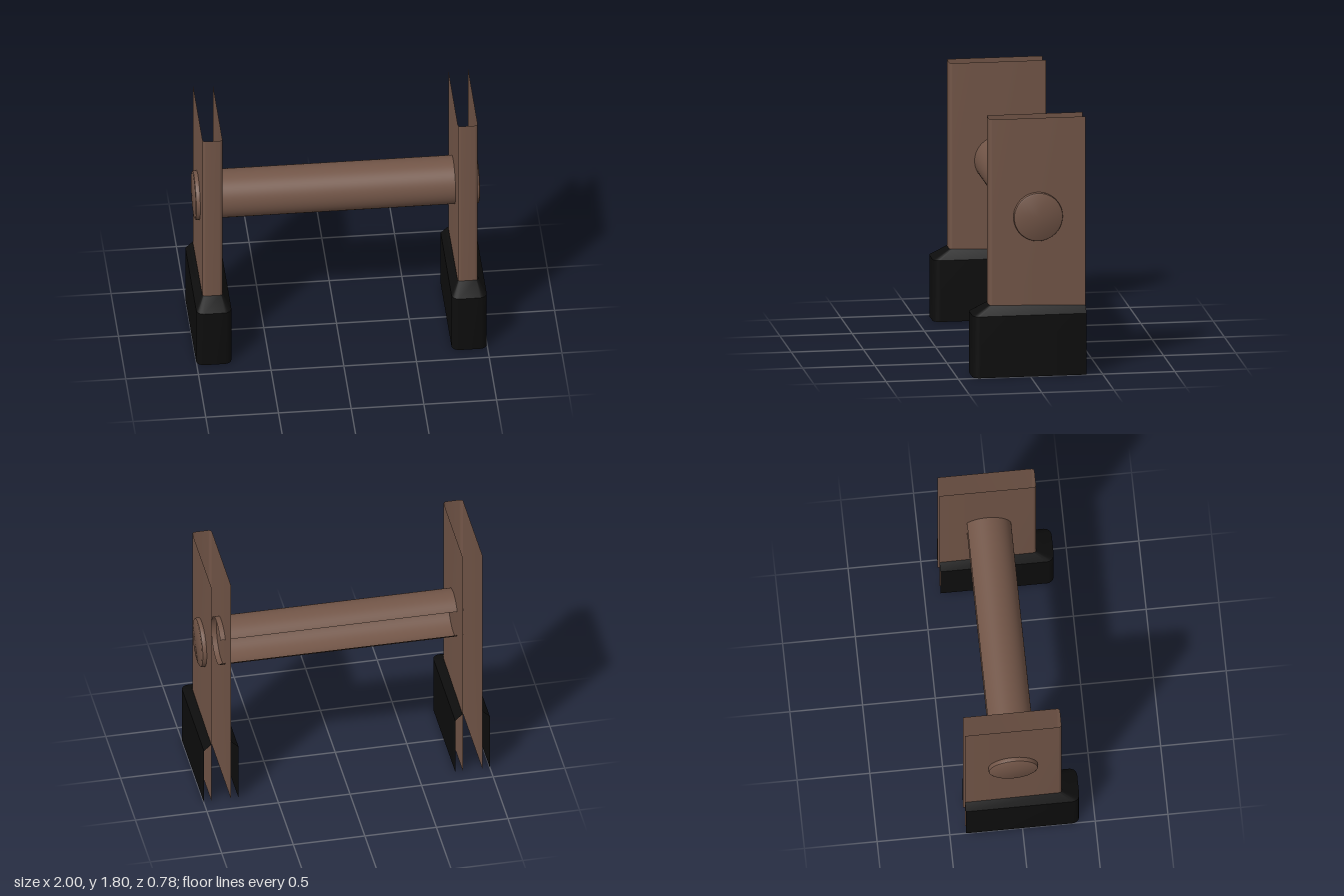
import * as THREE from 'three';
import { toCreasedNormals } from 'three/addons/utils/BufferGeometryUtils.js';

const BACK = -0.39;

// U-shaped cross-section, open at the back, with rounded front corners
function uSection(halfWidth, front, radius, yFront, yBack = yFront) {
  const steps = 5;
  const pts = [[-halfWidth, BACK]];
  for (const side of [-1, 1]) {
    for (let i = 0; i <= steps; i++) {
      const t = (side < 0 ? i : steps - i) / steps * Math.PI / 2;
      pts.push([
        side * (halfWidth - radius + radius * Math.cos(t)),
        front - radius + radius * Math.sin(t),
      ]);
    }
  }
  pts.push([halfWidth, BACK]);
  return pts.map(([x, z]) => [x, THREE.MathUtils.mapLinear(z, BACK, front, yBack, yFront), z]);
}

// Skin a stack of sections from bottom to top
function loft(sections) {
  const n = sections[0].length;
  const index = [];
  for (let r = 0; r < sections.length - 1; r++) {
    for (let i = 0; i < n - 1; i++) {
      const a = r * n + i;
      index.push(a, a + 1, a + 1 + n, a, a + 1 + n, a + n);
    }
  }
  const geometry = new THREE.BufferGeometry();
  geometry.setAttribute('position', new THREE.Float32BufferAttribute(sections.flat(2), 3));
  geometry.setIndex(index);
  return toCreasedNormals(geometry, 0.45);
}

export function createModel() {
  const model = new THREE.Group();
  model.name = 'stand';

  const brown = new THREE.MeshStandardMaterial({ color: 0x735648, side: THREE.DoubleSide });
  brown.name = 'brown';
  const black = new THREE.MeshStandardMaterial({ color: 0x0d0d0d, side: THREE.DoubleSide });
  black.name = 'black';

  const add = (parent, name, geometry, material) => {
    const mesh = new THREE.Mesh(geometry, material);
    mesh.name = name;
    parent.add(mesh);
    return mesh;
  };

  // Thin channel post and the flared boot around its foot
  const postGeometry = loft([uSection(0.068, 0.275, 0.02, 0), uSection(0.068, 0.275, 0.02, 1.8)]);
  const bootGeometry = loft([
    uSection(0.121, 0.395, 0.05, 0),
    uSection(0.121, 0.395, 0.05, 0.43),
    uSection(0.07, 0.277, 0.02, 0.497, 0.478),
  ]);

  // Round end cap with a small bevel
  const capProfile = [[0, 0.032], [0.158, 0.032], [0.167, 0.027], [0.17, 0.018], [0.17, 0]]
    .map(([x, y]) => new THREE.Vector2(x, y));
  const capGeometry = toCreasedNormals(new THREE.LatheGeometry(capProfile, 48), 0.6);

  for (const [name, side, x] of [['right', -1, -0.879], ['left', 1, 0.877]]) {
    const leg = new THREE.Group();
    leg.name = name + 'Leg';
    leg.position.x = x;
    add(leg, name + 'Post', postGeometry, brown);
    add(leg, name + 'Boot', bootGeometry, black);
    const cap = add(leg, name + 'EndCap', capGeometry, brown);
    cap.rotation.z = -side * Math.PI / 2;
    cap.position.set(side * 0.068, 1.11, -0.06);
    model.add(leg);
  }

  // Crossbar: a tube slit open along its back
  const gap = 0.63;
  const barGeometry = new THREE.CylinderGeometry(
    0.168, 0.168, 1.7, 48, 1, true, Math.PI + gap, 2 * (Math.PI - gap));
  const bar = add(model, 'crossbar', barGeometry, brown);
  bar.rotation.z = Math.PI / 2;
  bar.position.set(-0.005, 1.11, -0.065);

  return model;
}
